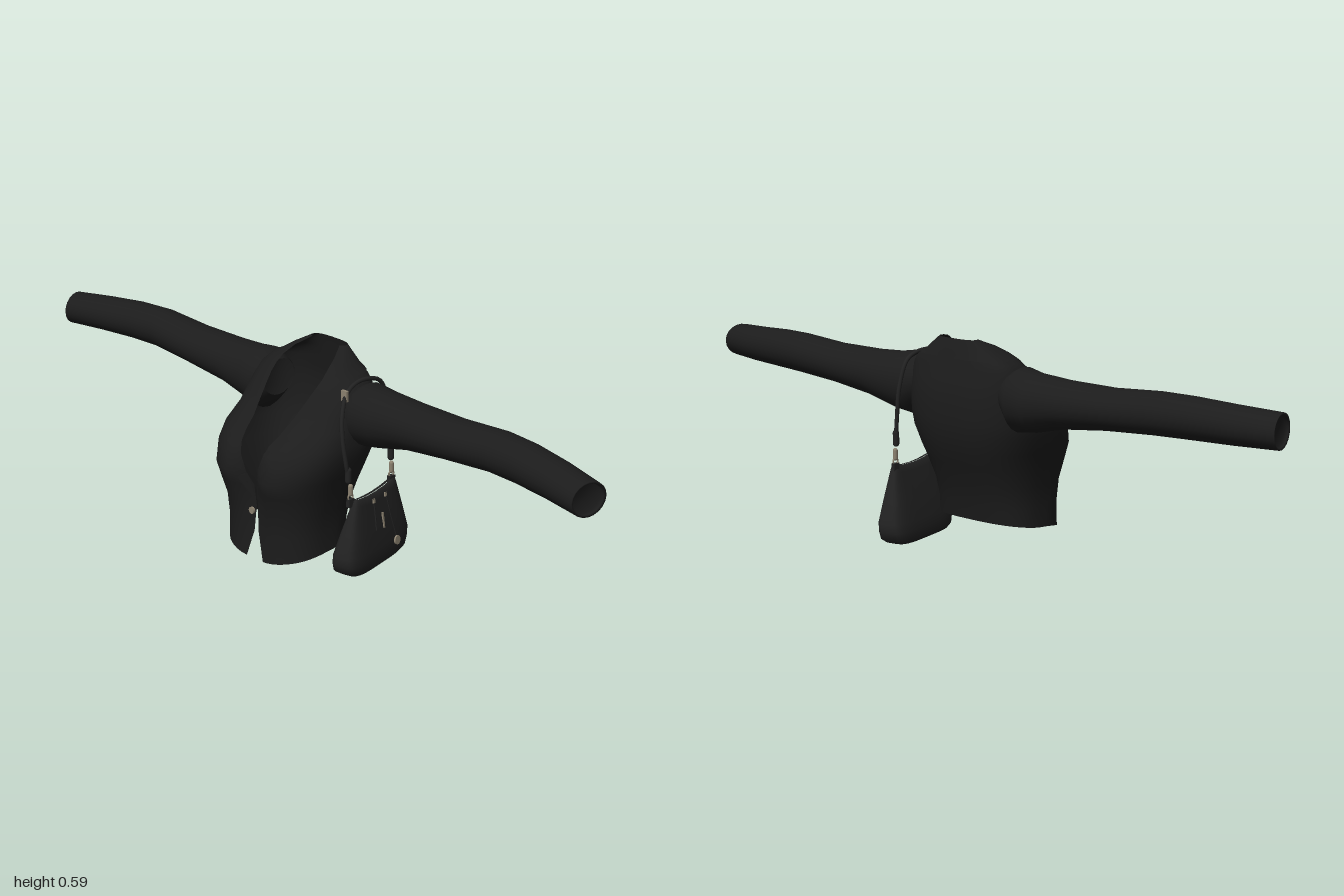
import * as THREE from 'three';

const V = (x, y, z) => new THREE.Vector3(x, y, z);

// Linear look-up in a table whose first column is the key
function lookup(table, k) {
  let i = 0;
  while (i < table.length - 2 && k > table[i + 1][0]) i++;
  const a = table[i], b = table[i + 1];
  const f = THREE.MathUtils.clamp((k - a[0]) / (b[0] - a[0]), 0, 1);
  return a.map((v, n) => v + (b[n] - v) * f);
}

// Skin of rows x columns, optionally closed around each row
function skin(rows, cols, fn, closed = false) {
  const pos = [], idx = [];
  for (let i = 0; i < rows; i++) for (let j = 0; j < cols; j++) pos.push(...fn(i, j).toArray());
  for (let i = 0; i < rows - 1; i++) {
    for (let j = 0; j < (closed ? cols : cols - 1); j++) {
      const k = (j + 1) % cols;
      const a = i * cols + j, b = i * cols + k, c = b + cols, d = a + cols;
      idx.push(a, b, c, a, c, d);
    }
  }
  const g = new THREE.BufferGeometry();
  g.setAttribute('position', new THREE.Float32BufferAttribute(pos, 3));
  g.setIndex(idx);
  g.computeVertexNormals();
  return g;
}

const pw = (v, p) => Math.sign(v) * Math.pow(Math.abs(v), p);

// Torso: y, half width, front z, back z, widest z, half opening, centre dip
const TORSO = [
  [0.06, 0.165, 0.185, -0.07, 0.05, 0.032, 0.01],
  [0.12, 0.162, 0.185, -0.08, 0.05, 0.008, 0.015],
  [0.18, 0.167, 0.192, -0.095, 0.05, 0.002, 0.025],
  [0.24, 0.18, 0.214, -0.12, 0.04, 0.008, 0.045],
  [0.28, 0.19, 0.227, -0.138, 0.03, 0.022, 0.05],
  [0.33, 0.204, 0.209, -0.152, 0.01, 0.04, 0.04],
  [0.37, 0.205, 0.182, -0.157, -0.01, 0.052, 0.03],
  [0.41, 0.2, 0.122, -0.158, -0.03, 0.065, 0.01],
  [0.45, 0.195, 0.086, -0.157, -0.04, 0.075, 0],
  [0.48, 0.19, 0.06, -0.15, -0.05, 0.082, 0],
  [0.51, 0.18, 0.034, -0.144, -0.06, 0.088, 0],
  [0.53, 0.162, 0.014, -0.139, -0.07, 0.09, 0],
  [0.55, 0.125, -0.005, -0.136, -0.07, 0.086, 0],
  [0.57, 0.098, -0.04, -0.132, -0.08, 0.076, 0],
  [0.59, 0.065, -0.09, -0.127, -0.105, 0.052, 0],
];
const P = 0.75;
const angleAt = (x, w) => Math.asin(Math.pow(Math.min(x / w, 1), 1 / P));

// Point on the jacket at height y and angle t from the front, pushed out by o
function body(y, t, o = 0) {
  const [, w, zf, zb, zc, , dip] = lookup(TORSO, y);
  const c = Math.cos(t), x = w * pw(Math.sin(t), P);
  let z = zc + (c > 0 ? zf - zc : zc - zb) * pw(c, P);
  if (c > 0) z -= dip * Math.exp(-((x / 0.045) ** 2));
  const hem = 0.02 + 0.06 * Math.sin(t / 2);
  const h = y + (hem - 0.06) * Math.max(0, 1 - (y - 0.06) / 0.1);
  return V(x + o * Math.sin(t), h, z + o * c);
}

// Sleeve: x, top, bottom, front z, back z, end slant
const SLEEVE = [
  [0.15, 0.505, 0.4, 0, -0.12, 0], [0.195, 0.528, 0.35, 0.02, -0.147, 0],
  [0.25, 0.519, 0.358, 0.008, -0.147, 0], [0.35, 0.513, 0.382, 0, -0.142, 0],
  [0.5, 0.512, 0.4, -0.002, -0.137, 0], [0.65, 0.523, 0.41, -0.008, -0.13, 0.08],
  [0.75, 0.522, 0.412, 0, -0.118, 0.18], [0.87, 0.514, 0.412, 0.017, -0.096, 0.22],
  [0.988, 0.506, 0.412, 0.04, -0.064, 0.24],
  [0.986, 0.5, 0.418, 0.034, -0.058, 0.24], [0.975, 0.499, 0.419, 0.032, -0.058, 0.24],
  [0.975, 0.4592, 0.4588, -0.0128, -0.0132, 0.24],
];

// Bag: y, half length, half thickness
const BAG = [
  [0, 0.001, 0.001], [0.001, 0.122, 0.042], [0.012, 0.139, 0.048], [0.035, 0.147, 0.048],
  [0.06, 0.149, 0.046], [0.12, 0.13, 0.034], [0.2, 0.104, 0.015], [0.217, 0.098, 0.01],
  [0.218, 0.09, 0.001],
];
const bagCentre = (y) => 0.06 * y;
const bagSide = (y) => bagCentre(y) + lookup(BAG, y)[2] + 0.001;

export function createModel() {
  const make = (name, color, side = THREE.FrontSide) => {
    const m = new THREE.MeshStandardMaterial({ color, side });
    m.name = name;
    return m;
  };
  const cloth = make('black cloth', 0x1c1c1c, THREE.DoubleSide);
  const leather = make('black leather', 0x222222);
  const metal = make('dull brass', 0x8c8270);

  const model = new THREE.Group();
  model.name = 'jacketWithBag';
  const add = (parent, name, geo, mat, p) => {
    const m = new THREE.Mesh(geo, mat);
    m.name = name;
    if (p) m.position.copy(p);
    parent.add(m);
    return m;
  };

  // Jacket body, open at the front
  const N = 57;
  add(model, 'jacketBody', skin(TORSO.length, N, (i, j) => {
    const [y, w, , , , g] = TORSO[i];
    const t0 = angleAt(g, w);
    return body(y, t0 + (2 * Math.PI - 2 * t0) * j / (N - 1));
  }), cloth);

  // Turned-down collar round the back of the neck
  const collarY = [0.538, 0.55, 0.57, 0.59];
  add(model, 'collar', skin(4, 41, (i, j) => {
    const [y, w, , , , g] = lookup(TORSO, collarY[i]);
    const t0 = angleAt(g, w);
    return body(y, t0 + (2 * Math.PI - 2 * t0) * j / 40, 0.005 - 0.0015 * i);
  }), cloth);

  // Notched lapels and sleeves, mirrored
  const LAPEL = [[0.2, 0.004], [0.25, 0.025], [0.3, 0.04], [0.35, 0.047], [0.4, 0.053],
    [0.44, 0.06], [0.452, 0.034], [0.465, 0.05], [0.5, 0.045], [0.53, 0.035], [0.55, 0.02]];
  for (const s of [1, -1]) {
    const side = s > 0 ? 'left' : 'right';
    add(model, side + 'Lapel', skin(LAPEL.length, 6, (i, j) => {
      const [y, width] = LAPEL[i];
      const [, w, , , , g] = lookup(TORSO, y);
      const f = s > 0 ? j / 5 : 1 - j / 5;
      const p = body(y, angleAt(g + width * f, w), 0.004);
      p.x *= s;
      return p;
    }), cloth);

    add(model, side + 'Sleeve', skin(SLEEVE.length, 20, (i, j) => {
      const [x, top, bottom, front, back, slant] = SLEEVE[i];
      const a = s * j / 20 * Math.PI * 2;
      const dz = (front - back) / 2 * Math.sin(a);
      return V(s * (x - slant * dz), (top + bottom) / 2 + (top - bottom) / 2 * Math.cos(a),
        (front + back) / 2 + dz);
    }, true), cloth);
  }

  // Front button
  const bp = body(0.165, angleAt(0.015, 0.165), 0.003);
  add(model, 'frontButton', new THREE.CylinderGeometry(0.01, 0.01, 0.006, 16).rotateX(Math.PI / 2),
    metal, V(-bp.x, 0.162, bp.z));

  // Shoulder bag
  const bag = new THREE.Group();
  bag.name = 'bag';
  bag.position.set(0.1925, 0.003, -0.075);
  bag.rotation.y = 0.2;
  model.add(bag);
  add(bag, 'bagBody', skin(BAG.length, 40, (i, j) => {
    const [y, l, th] = BAG[i], t = j / 40 * Math.PI * 2;
    const z = l * pw(Math.cos(t), 0.5);
    const sag = i > 5 ? 0.011 * (1 - (z / 0.1) ** 2) : 0;
    return V(bagCentre(y) + th * pw(Math.sin(t), 0.5), y - sag, z);
  }, true), leather);

  // Cords, zip plate and round charm on the outer face
  const cord = (name, pts) => add(bag, name, new THREE.TubeGeometry(new THREE.CatmullRomCurve3(
    pts.map(([z, y]) => V(bagSide(y), y, z))), 16, 0.002, 6), leather);
  cord('frontCord', [[0.028, 0.2], [0.03, 0.16], [0.034, 0.112]]);
  cord('charmCord', [[-0.032, 0.2], [-0.042, 0.13], [-0.057, 0.065]]);
  const tilt = Math.atan2(0.19 - 0.06, 1);
  const plate = (name, w, h, z, y) => {
    const m = add(bag, name, new THREE.BoxGeometry(0.004, h, w), metal, V(bagSide(y), y, z));
    m.rotation.z = tilt;
  };
  plate('zipPull', 0.006, 0.045, -0.004, 0.128);
  plate('frontEyelet', 0.008, 0.012, 0.027, 0.193);
  plate('rearEyelet', 0.008, 0.012, -0.031, 0.193);
  const charm = add(bag, 'charm', new THREE.CylinderGeometry(0.013, 0.013, 0.005, 20)
    .rotateZ(Math.PI / 2), metal, V(bagSide(0.05) + 0.002, 0.05, -0.059));
  charm.rotation.z = tilt;

  // Strap over the shoulder
  const strap = new THREE.CatmullRomCurve3([
    V(0.214, 0.275, 0.03), V(0.215, 0.33, 0.043), V(0.205, 0.4, 0.047), V(0.192, 0.46, 0.036),
    V(0.178, 0.51, 0.006), V(0.172, 0.53, -0.04), V(0.172, 0.528, -0.09), V(0.172, 0.51, -0.13),
    V(0.175, 0.44, -0.157), V(0.18, 0.35, -0.163), V(0.182, 0.275, -0.167),
  ]);
  add(model, 'strap', new THREE.TubeGeometry(strap, 60, 0.006, 8), leather);
  add(model, 'strapBuckle', new THREE.BoxGeometry(0.02, 0.03, 0.008), metal, V(0.178, 0.507, 0.012));

  // Strap ends with clasps, rings and tabs
  for (const [n, x, z] of [['front', 0.216, 0.026], ['rear', 0.183, -0.167]]) {
    add(model, n + 'StrapEnd', new THREE.CapsuleGeometry(0.009, 0.03, 4, 10), leather, V(x, 0.295, z + (n === 'front' ? 0.009 : 0.003)));
    add(model, n + 'Clasp', new THREE.CapsuleGeometry(0.007, 0.022, 4, 10), metal, V(x, 0.25, z));
    add(model, n + 'Ring', new THREE.TorusGeometry(0.009, 0.0025, 6, 16).rotateY(Math.PI / 2),
      metal, V(x, 0.23, z));
    add(model, n + 'Tab', new THREE.BoxGeometry(0.012, 0.024, 0.02), leather, V(x, 0.213, z));
  }
  return model;
}
